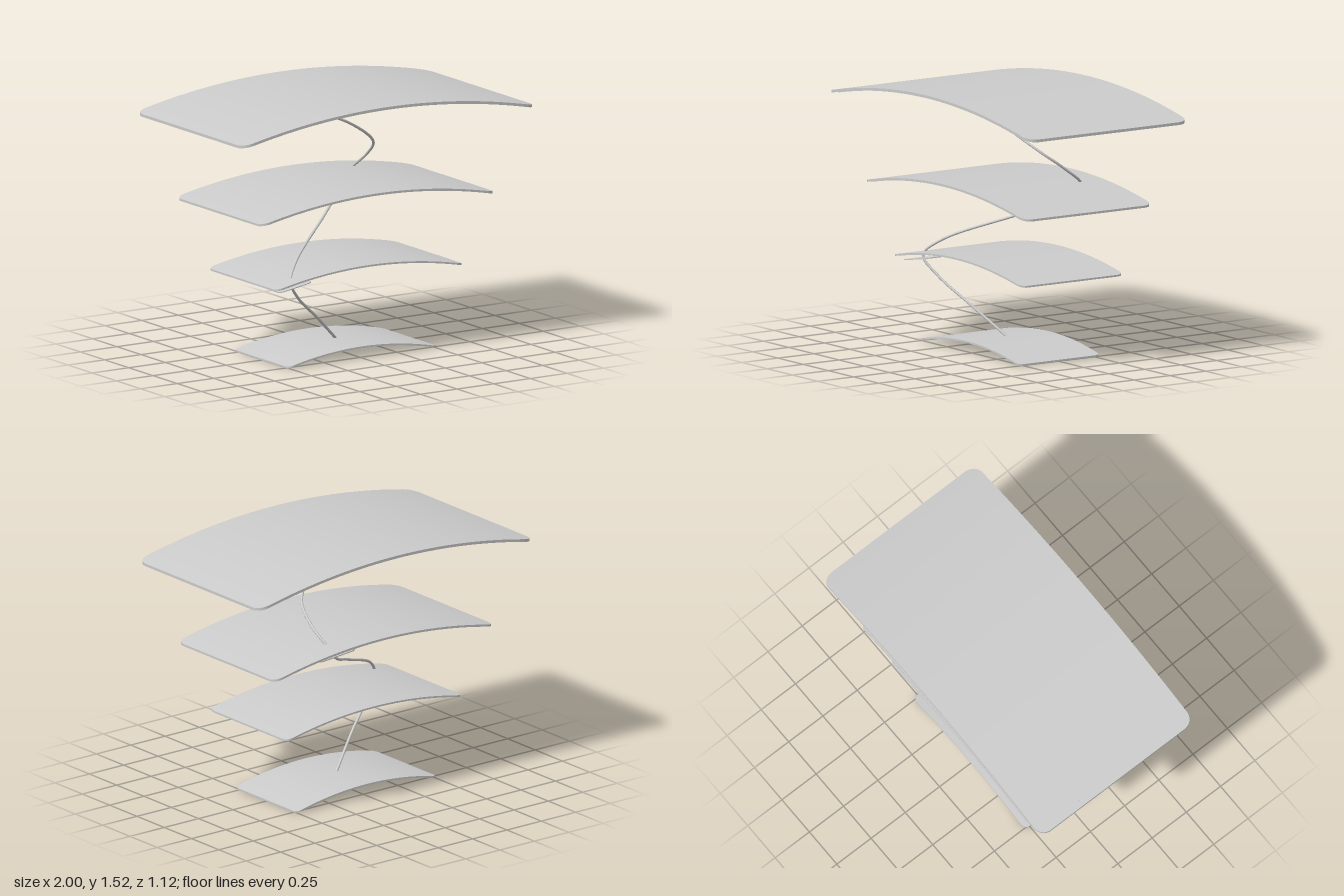
import * as THREE from 'three';
import { toCreasedNormals } from 'three/addons/utils/BufferGeometryUtils.js';

const material = new THREE.MeshStandardMaterial({ color: 0xcccccc });

function addMesh(parent, name, geometry) {
  const mesh = new THREE.Mesh(geometry, material);
  mesh.name = name;
  parent.add(mesh);
  return mesh;
}

// Rounded rectangle slab lofted along x; drop(x) bends it down from its top height
function slabGeometry(halfX, halfZ, corner, thickness, drop) {
  const xs = [];
  for (let i = 0; i <= 8; i++) xs.push(-halfX + corner * (1 - Math.cos((i / 8) * Math.PI / 2)));
  for (let i = 1; i < 40; i++) xs.push((halfX - corner) * (i / 20 - 1));
  for (let i = 8; i >= 0; i--) xs.push(halfX - corner * (1 - Math.cos((i / 8) * Math.PI / 2)));
  const positions = [], indices = [];
  for (const x of xs) {
    const over = Math.max(0, Math.abs(x) - (halfX - corner));
    const z = halfZ - corner + Math.sqrt(Math.max(0, corner * corner - over * over));
    const y = -drop(x);
    positions.push(x, y, -z, x, y, z, x, y - thickness, z, x, y - thickness, -z);
  }
  for (let i = 0; i < xs.length - 1; i++) {
    for (let k = 0; k < 4; k++) {
      const a = i * 4 + k, b = i * 4 + (k + 1) % 4;
      indices.push(a, b, b + 4, a, b + 4, a + 4);
    }
  }
  const e = (xs.length - 1) * 4;
  indices.push(0, 2, 1, 0, 3, 2, e, e + 1, e + 2, e, e + 2, e + 3);
  const geometry = new THREE.BufferGeometry();
  geometry.setAttribute('position', new THREE.Float32BufferAttribute(positions, 3));
  geometry.setIndex(indices);
  return toCreasedNormals(geometry, 0.6);
}

// Curved panel with an inset underside and a grid of shallow ribs
function createPanel({ name, halfX, halfZ, top, sag, thickness, ribbed }) {
  const panel = new THREE.Group();
  panel.name = name;
  panel.position.y = top;
  const drop = x => sag * (x / halfX) ** 2;
  const skin = ribbed ? thickness * 0.8 : thickness;
  addMesh(panel, 'curvedSlab', slabGeometry(halfX, halfZ, 0.07 * halfX, skin, drop));
  if (!ribbed) return panel;

  const inset = 0.035 * halfX;
  addMesh(panel, 'insetUnderside',
    slabGeometry(halfX - inset, halfZ - inset, 0.05 * halfX, thickness, drop));

  const cols = 6, rows = 4, width = 0.012 * halfX, height = 0.012 * halfX;
  const cellX = 2 * (halfX - inset) / cols, cellZ = 2 * (halfZ - inset) / rows;
  const place = (mesh, x, z) => {
    mesh.position.set(x, -drop(x) - thickness, z);
    mesh.rotation.z = -Math.atan(2 * sag * x / (halfX * halfX));
  };
  // Cross ribs
  for (let c = 1; c < cols; c++) {
    const rib = addMesh(panel, 'crossRib', new THREE.BoxGeometry(width, height, cellZ * (rows - 0.5)));
    place(rib, (c - cols / 2) * cellX, 0);
  }
  // Short lengthwise ribs, one per cell
  for (let r = 1; r < rows; r++) {
    for (let c = 0; c < cols; c++) {
      const rib = addMesh(panel, 'longRib', new THREE.BoxGeometry(cellX * 0.7, height, width));
      place(rib, (c + 0.5 - cols / 2) * cellX, (r - rows / 2) * cellZ);
    }
  }
  return panel;
}

export function createModel() {
  const model = new THREE.Group();
  model.name = 'tieredPanels';

  // Four tiers, growing towards the top
  const tiers = [
    { name: 'basePanel', halfX: 0.51, halfZ: 0.285, top: 0.072, sag: 0.062, thickness: 0.01, ribbed: false },
    { name: 'lowerPanel', halfX: 0.64, halfZ: 0.358, top: 0.56, sag: 0.072, thickness: 0.013, ribbed: true },
    { name: 'middlePanel', halfX: 0.8, halfZ: 0.448, top: 0.995, sag: 0.091, thickness: 0.016, ribbed: true },
    { name: 'topPanel', halfX: 1, halfZ: 0.56, top: 1.52, sag: 0.115, thickness: 0.02, ribbed: true },
  ];
  tiers.forEach(tier => model.add(createPanel(tier)));

  // Tilted mounting plates where the stem meets each ribbed panel
  const mounts = [[-0.483, 0.482, 0.245], [0.298, 0.938, -0.3], [-0.378, 1.453, 0.12]];
  mounts.forEach(([x, y, z], i) => {
    const { halfX, halfZ, sag } = tiers[i + 1];
    const plate = addMesh(model, 'mountingPlate',
      slabGeometry(0.178 * halfX, 0.215 * halfZ, 0.05 * halfX, 0.008 * halfX, () => 0));
    plate.position.set(x, y, z);
    plate.rotation.z = -Math.atan(2 * sag * x / (halfX * halfX));
  });

  // Winding stem
  const path = [
    [0, 0.065, 0], [-0.2, 0.23, 0.11], [-0.4, 0.39, 0.21], [-0.48, 0.5, 0.255], [-0.4, 0.59, 0.185],
    [0, 0.775, -0.11], [0.25, 0.895, -0.3], [0.3, 0.965, -0.3], [0.32, 1.07, -0.17],
    [0.27, 1.18, -0.025], [0, 1.35, 0.105], [-0.2, 1.425, 0.12], [-0.42, 1.485, 0.13],
  ].map(p => new THREE.Vector3(...p));
  addMesh(model, 'windingStem',
    new THREE.TubeGeometry(new THREE.CatmullRomCurve3(path), 160, 0.008, 10));

  return model;
}
